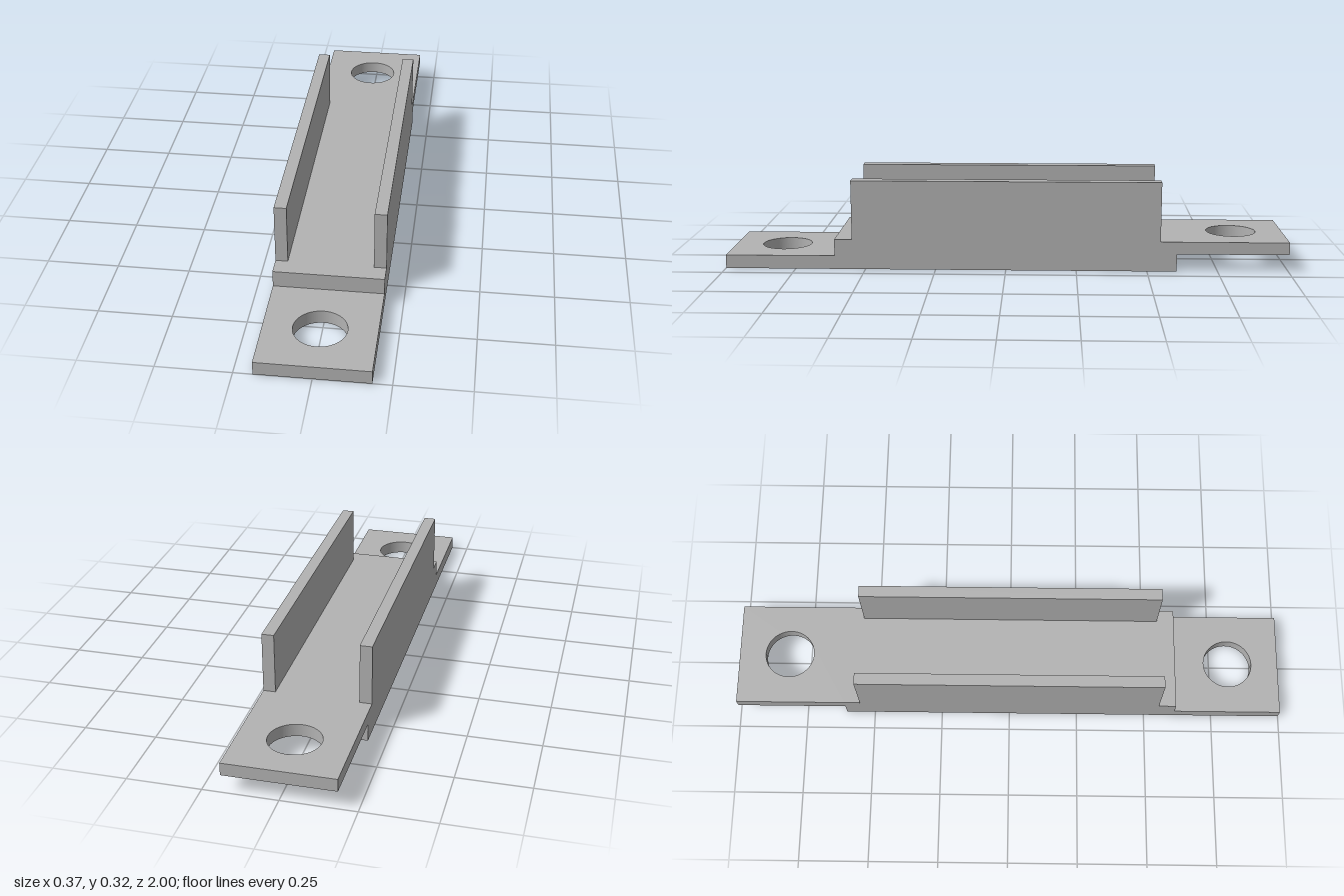
import * as THREE from 'three';

const HALF_WIDTH = 0.187;
const FLOOR = 0.107;

export function createModel() {
  const group = new THREE.Group();
  group.name = 'channelBracket';
  const grey = new THREE.MeshStandardMaterial({ color: 0xb2b2b2 });
  grey.name = 'grey';

  const add = (name, geometry) => {
    const mesh = new THREE.Mesh(geometry, grey);
    mesh.name = name;
    group.add(mesh);
  };

  // Box given by its lower and upper limits
  const block = (name, [x0, y0, z0], [x1, y1, z1]) => {
    const g = new THREE.BoxGeometry(x1 - x0, y1 - y0, z1 - z0);
    g.translate((x0 + x1) / 2, (y0 + y1) / 2, (z0 + z1) / 2);
    add(name, g);
  };

  // Flat mounting tab with a round screw hole
  const tab = (name, z0, z1, holeZ, y0, y1) => {
    const s = new THREE.Shape([
      new THREE.Vector2(-HALF_WIDTH, -z1),
      new THREE.Vector2(HALF_WIDTH, -z1),
      new THREE.Vector2(HALF_WIDTH, -z0),
      new THREE.Vector2(-HALF_WIDTH, -z0),
    ]);
    s.holes.push(new THREE.Path().absarc(0, -holeZ, 0.089, 0, Math.PI * 2, true));
    const g = new THREE.ExtrudeGeometry(s, { depth: y1 - y0, bevelEnabled: false, curveSegments: 64 });
    g.rotateX(-Math.PI / 2);
    g.translate(0, y0, 0);
    add(name, g);
  };

  // Channel floor
  block('floor', [-HALF_WIDTH, 0, -0.605], [HALF_WIDTH, FLOOR, 0.61]);

  // Low tab at the front, raised tab at the back, so brackets overlap end to end
  tab('frontTab', 0.61, 1, 0.813, 0, 0.048);
  tab('backTab', -1, -0.605, -0.815, 0.063, FLOOR);

  // Side walls
  block('leftWall', [0.145, FLOOR, -0.547], [HALF_WIDTH, 0.32, 0.547]);
  block('rightWall', [-HALF_WIDTH, FLOOR, -0.547], [-0.145, 0.32, 0.547]);

  return group;
}
